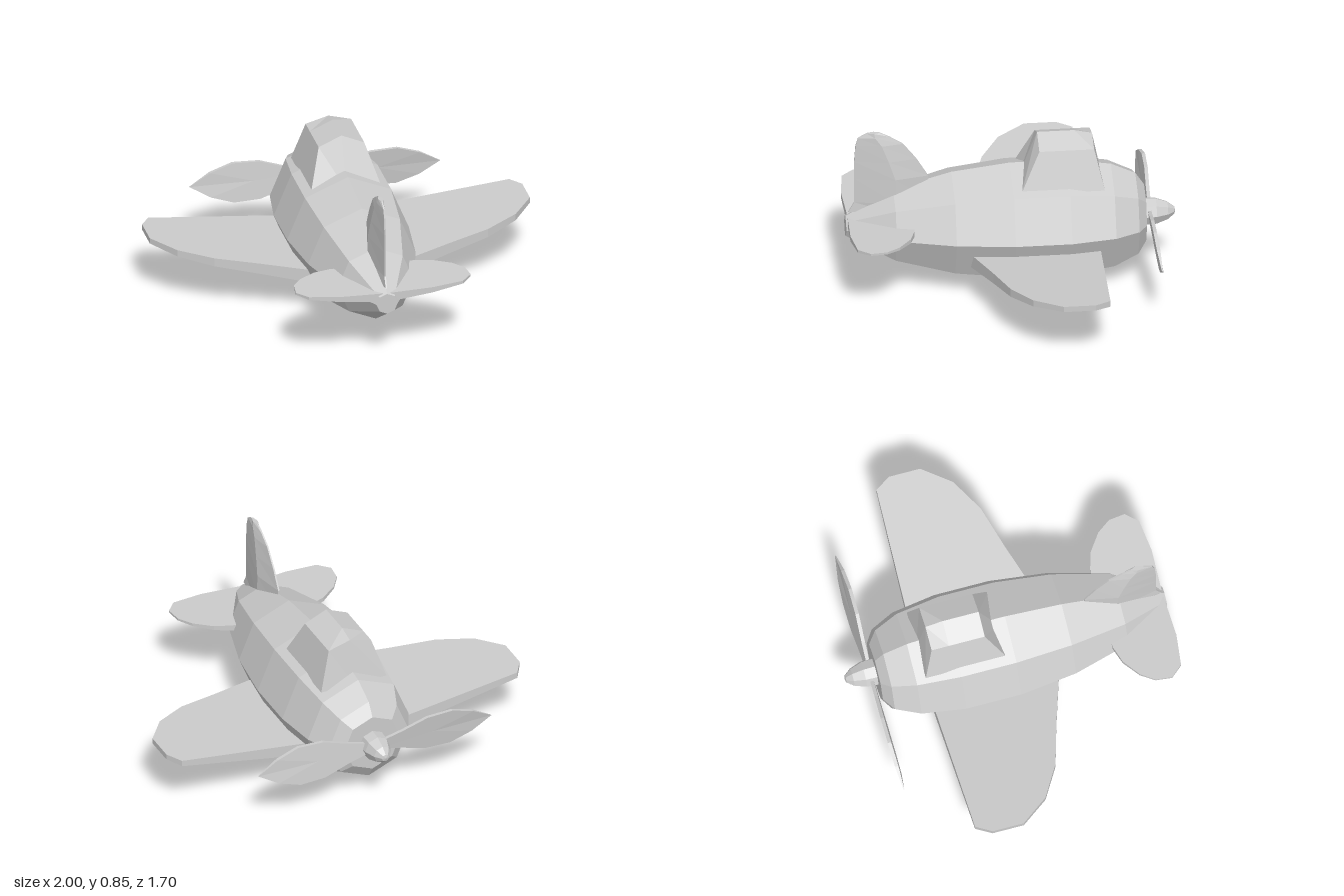
import * as THREE from 'three';

const material = new THREE.MeshStandardMaterial({ color: 0xcccccc, flatShading: true });

// Skin a stack of equal-length loops of [x, y, z] points and close both ends.
function loft(name, loops) {
  const tris = [];
  const n = loops[0].length;
  for (let i = 0; i < loops.length - 1; i++) {
    for (let j = 0; j < n; j++) {
      const k = (j + 1) % n;
      const a = loops[i][j], b = loops[i][k], c = loops[i + 1][k], d = loops[i + 1][j];
      tris.push([a, b, c], [a, c, d]);
    }
  }
  const cap = (loop, flip) => {
    const mid = [0, 1, 2].map((c) => loop.reduce((s, p) => s + p[c], 0) / n);
    loop.forEach((p, j) => {
      const q = loop[(j + 1) % n];
      tris.push(flip ? [mid, q, p] : [mid, p, q]);
    });
  };
  cap(loops[0], true);
  cap(loops[loops.length - 1], false);

  // Turn the skin outward if the loops ran the other way round
  const v = (p) => new THREE.Vector3(...p);
  const volume = tris.reduce((s, [a, b, c]) => s + v(a).dot(v(b).cross(v(c))), 0);
  if (volume < 0) tris.forEach((t) => t.reverse());

  const geometry = new THREE.BufferGeometry();
  geometry.setAttribute('position', new THREE.Float32BufferAttribute(tris.flat(2), 3));
  geometry.computeVertexNormals();
  const mesh = new THREE.Mesh(geometry, material);
  mesh.name = name;
  return mesh;
}

// Upright octagon around the body axis
const AXIS_Y = 0.32;
const octagon = (z, r) => Array.from({ length: 8 }, (_, i) => {
  const a = (i * Math.PI) / 4;
  return [Math.sin(a) * r, AXIS_Y + Math.cos(a) * r, z];
});

// Flat surface from an [x, z] outline whose lower and upper heights depend on x
function slab(name, outline, side, low, high) {
  return loft(name, [low, high].map((h) => outline.map(([x, z]) => [side * x, h(x), z])));
}

function createCanopy() {
  // Half-width, height and the four z stations of each level
  const ring = (w, y, ridgeY, z0, z1, z2) => [
    [w, y, z0], [0, ridgeY, z0], [-w, y, z0], [-w, y, z1],
    [-w, y, z2], [0, ridgeY - (ridgeY > 0.7 ? 0.02 : 0), z2], [w, y, z2], [w, y, z1],
  ];
  const base = ring(0.185, 0.55, 0.55, -0.04, -0.33, -0.47);
  const shoulder = ring(0.12, 0.757, 0.81, -0.14, -0.33, -0.422);
  const ridge = shoulder.map(([, , z]) => [0, z < -0.4 ? 0.79 : 0.81, z]);
  return loft('canopy', [base, shoulder, ridge]);
}

function createFin() {
  // Height, leading z, trailing z, half-thickness
  const levels = [
    [0.40, 0.42, 0.83, 0.035], [0.455, 0.42, 0.8, 0.042], [0.59, 0.42, 0.8, 0.04],
    [0.69, 0.48, 0.8, 0.032], [0.78, 0.55, 0.793, 0.024], [0.825, 0.62, 0.78, 0.018],
    [0.85, 0.67, 0.735, 0.013],
  ];
  return loft('tailFin', levels.map(([y, a, b, t]) => {
    const m = a + (b - a) * 0.45;
    return [[0.004, y, a], [t, y, m], [0.004, y, b], [-0.004, y, b], [-t, y, m], [-0.004, y, a]];
  }));
}

function createPropeller() {
  const group = new THREE.Group();
  group.name = 'propeller';

  // Pointed hub
  const profile = [[0, -0.02], [0.075, -0.02], [0.07, 0.06], [0.048, 0.12], [0.02, 0.155], [0, 0.16]];
  const spinnerGeometry = new THREE.LatheGeometry(profile.map((p) => new THREE.Vector2(...p)), 8);
  spinnerGeometry.rotateX(-Math.PI / 2);
  const spinner = new THREE.Mesh(spinnerGeometry, material);
  spinner.name = 'spinner';
  spinner.position.set(0, AXIS_Y, -0.69);
  group.add(spinner);

  // Two pitched leaf-shaped blades
  const half = [[0.03, 0.025], [0.15, 0.055], [0.29, 0.1], [0.43, 0.105], [0.55, 0.065]];
  const outline = [...half, [0.66, 0], ...half.map(([x, y]) => [x, -y]).reverse()];
  for (const side of [1, -1]) {
    const faces = [-0.009, 0.009].map((t) => outline.map(([x, y]) => [
      side * x, AXIS_Y + side * y, -0.717 + y * 0.13 + t * (x > 0.6 ? 0.3 : 1),
    ]));
    group.add(loft(side > 0 ? 'leftBlade' : 'rightBlade', faces));
  }
  return group;
}

export function createModel() {
  const model = new THREE.Group();
  model.name = 'airplane';

  // Body stations from tail to nose: z, radius
  const stations = [
    [0.845, 0.056], [0.6, 0.2], [0.3, 0.283], [0, 0.32],
    [-0.29, 0.32], [-0.52, 0.285], [-0.645, 0.225], [-0.69, 0.157],
  ];
  model.add(loft('fuselage', stations.map(([z, r]) => octagon(z, r))));

  model.add(createCanopy(), createFin(), createPropeller());

  // Wings and tailplanes, mirrored
  const wing = [
    [0.1, -0.447], [0.95, -0.42], [1, -0.34], [1, -0.175],
    [0.89, -0.03], [0.72, 0.07], [0.5, 0.135], [0.1, 0.265],
  ];
  const tail = [
    [0.02, 0.5], [0.22, 0.512], [0.31, 0.54], [0.4, 0.605], [0.45, 0.675],
    [0.46, 0.76], [0.405, 0.822], [0.24, 0.843], [0.02, 0.835],
  ];
  for (const side of [1, -1]) {
    const label = side > 0 ? 'left' : 'right';
    model.add(slab(`${label}Wing`, wing, side, (x) => 0.13 + 0.165 * x, (x) => 0.215 + 0.11 * x));
    model.add(slab(`${label}Tailplane`, tail, side, (x) => 0.325 + 0.13 * x, (x) => 0.375 + 0.045 * x));
  }
  return model;
}
